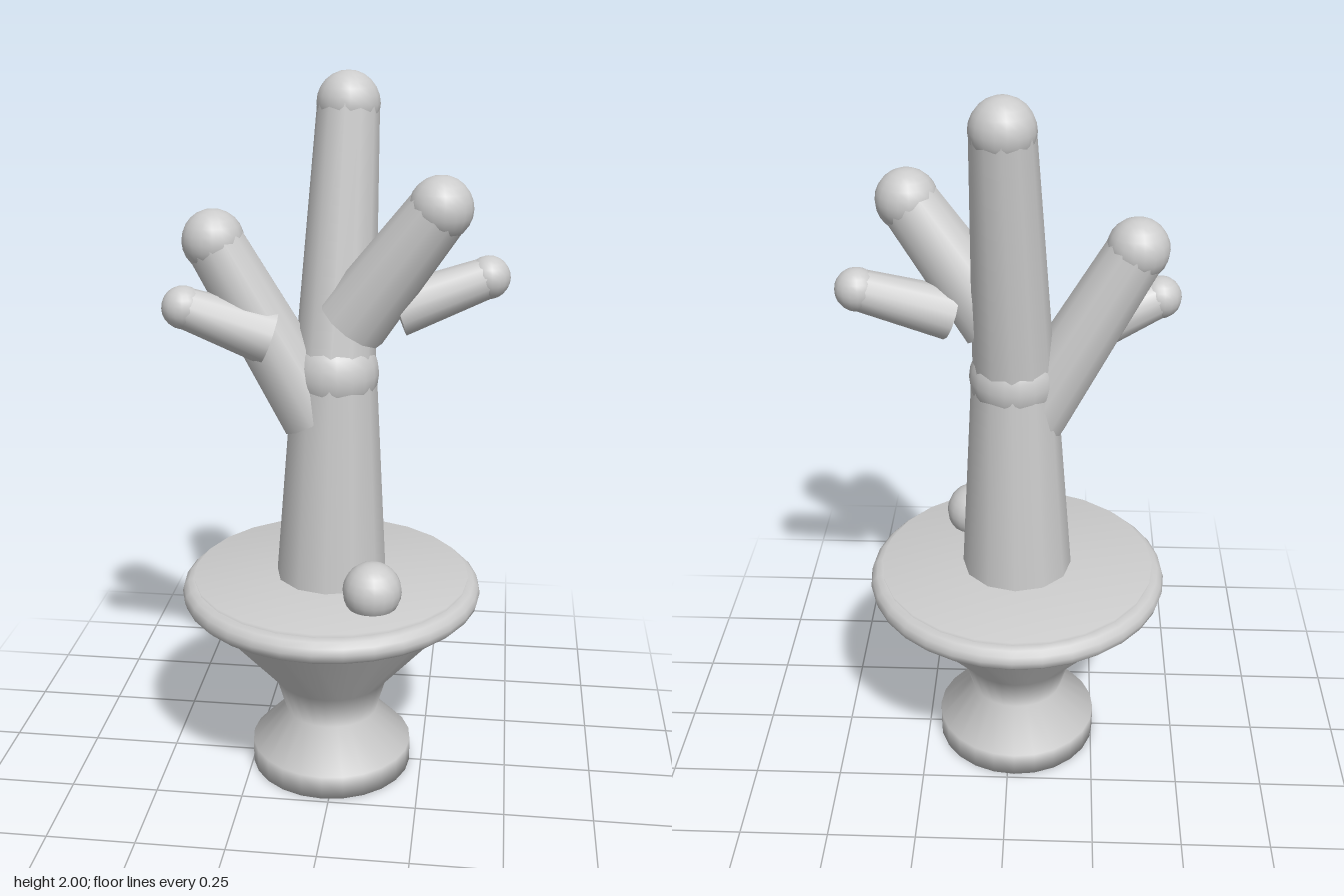
import * as THREE from 'three';

const V = (x, y, z) => new THREE.Vector3(x, y, z);

export function createModel() {
  const model = new THREE.Group();
  model.name = 'pottedTree';
  const grey = new THREE.MeshStandardMaterial({ color: 0xcccccc });
  grey.name = 'light grey';

  const add = (name, geometry, position) => {
    const mesh = new THREE.Mesh(geometry, grey);
    mesh.name = name;
    if (position) mesh.position.copy(position);
    model.add(mesh);
    return mesh;
  };
  const ball = (name, centre, r) => add(name, new THREE.SphereGeometry(r, 18, 12), centre);

  // Tapered limb running from one point to another
  const limb = (name, from, to, r0, r1) => {
    const dir = to.clone().sub(from);
    const mesh = add(name, new THREE.CylinderGeometry(r1, r0, dir.length(), 12),
      from.clone().add(to).multiplyScalar(0.5));
    mesh.quaternion.setFromUnitVectors(V(0, 1, 0), dir.normalize());
  };

  // Pot: foot, waist, flared bowl and soil in one smooth turned profile
  const profile = [
    [0, 0], [0.235, 0], [0.235, 0.07], [0.135, 0.175], [0.165, 0.28],
    [0.38, 0.53], [0.393, 0.612], [0, 0.612],
  ].map(([r, y]) => new THREE.Vector2(r, y));
  add('pot', new THREE.LatheGeometry(profile, 24), V(-0.02, 0, 0));

  // Rounded rim
  const rim = new THREE.TorusGeometry(0.391, 0.036, 12, 32);
  rim.rotateX(Math.PI / 2);
  add('rim', rim, V(-0.02, 0.566, 0));

  // Trunk in two lengths with a swollen joint
  const joint = V(-0.01, 1.21, 0);
  limb('lowerTrunk', V(-0.02, 0.59, 0), joint, 0.158, 0.116);
  ball('trunkJoint', joint, 0.122);
  limb('upperTrunk', joint, V(0.015, 1.915, -0.1), 0.112, 0.083);
  ball('trunkTip', V(0.015, 1.915, -0.1), 0.085);

  // Branches and twigs, each ending in a round tip: start, end, radii
  const limbs = [
    ['rightBranch', V(-0.06, 1.09, 0.015), V(-0.33, 1.57, 0.03), 0.1, 0.081],
    ['rightTwig', V(-0.18, 1.32, 0.06), V(-0.4, 1.405, 0.105), 0.078, 0.055],
    ['leftBranch', V(0.04, 1.36, 0.035), V(0.272, 1.677, 0.083), 0.1, 0.081],
    ['leftTwig', V(0.16, 1.39, 0.01), V(0.398, 1.475, -0.038), 0.072, 0.055],
  ];
  for (const [name, from, to, r0, r1] of limbs) {
    limb(name, from, to, r0, r1);
    ball(name + 'Tip', to, r1 + 0.003);
  }

  // Loose ball resting on the soil
  ball('soilBall', V(0.117, 0.655, 0.205), 0.081);

  return model;
}
